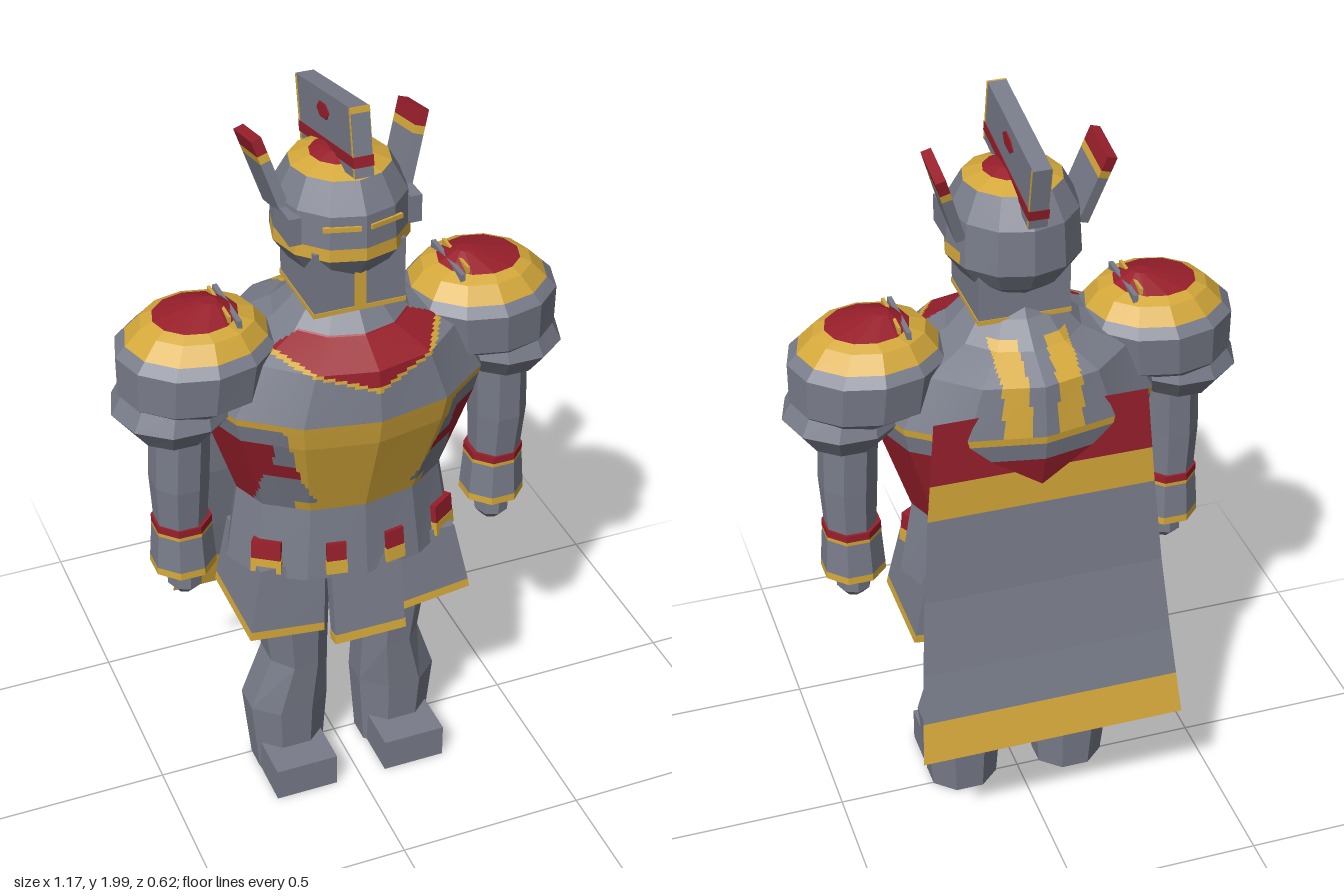
import * as THREE from 'three';

// Double sided because the cape is an open sheet
const material = (name, color) =>
  Object.assign(new THREE.MeshStandardMaterial({ color, side: THREE.DoubleSide }), { name });
const steel = material('steel', 0x797d8a);
const gold = material('gold', 0xd4a83a);
const red = material('red', 0x981f2b);
const palette = [steel, gold, red];
const STEEL = 0, GOLD = 1, RED = 2;

// Faceted surface over a grid of corners; each small cell is coloured by paint(centre).
function surface(name, cols, rows, sub, corner, paint) {
  const buckets = [[], [], []];
  const at = (i, j, u, v) => {
    const low = corner(i, j).lerp(corner(i + 1, j), u);
    return low.lerp(corner(i, j + 1).lerp(corner(i + 1, j + 1), u), v);
  };
  const tri = (list, a, b, c) => {
    const area = b.clone().sub(a).cross(c.clone().sub(a)).length();
    if (area > 1e-8) for (const p of [a, b, c]) list.push(p.x, p.y, p.z);
  };
  for (let j = 0; j < rows; j++) for (let i = 0; i < cols; i++)
    for (let q = 0; q < sub; q++) for (let p = 0; p < sub; p++) {
      const [u0, u1, v0, v1] = [p / sub, (p + 1) / sub, q / sub, (q + 1) / sub];
      const a = at(i, j, u0, v0), b = at(i, j, u1, v0), c = at(i, j, u1, v1), d = at(i, j, u0, v1);
      const list = buckets[paint(at(i, j, (u0 + u1) / 2, (v0 + v1) / 2))];
      tri(list, a, b, c);
      tri(list, a, c, d);
    }
  const geo = new THREE.BufferGeometry();
  geo.setAttribute('position', new THREE.Float32BufferAttribute(buckets.flat(), 3));
  let start = 0;
  buckets.forEach((list, k) => {
    if (list.length) geo.addGroup(start, list.length / 3, k);
    start += list.length / 3;
  });
  geo.computeVertexNormals();
  const mesh = new THREE.Mesh(geo, palette);
  mesh.name = name;
  return mesh;
}

// Closed stack of elliptical rings [y, rx, rz, cx, cz], listed from bottom to top.
function loft(name, rings, sides, paint = () => STEEL, sub = 1, turn = 0) {
  const cap = ([y, , , cx, cz]) => [y, 0, 0, cx, cz];
  const all = [cap(rings[0]), ...rings, cap(rings[rings.length - 1])];
  const corner = (i, j) => {
    const [y, rx, rz, cx, cz] = all[j];
    const a = ((i + turn) / sides) * Math.PI * 2;
    return new THREE.Vector3(cx + rx * Math.sin(a), y, cz + rz * Math.cos(a));
  };
  return surface(name, sides, all.length - 1, sub, corner, paint);
}

function box(name, mat, w, h, d, x, y, z) {
  const mesh = new THREE.Mesh(new THREE.BoxGeometry(w, h, d), mat);
  mesh.name = name;
  mesh.position.set(x, y, z);
  return mesh;
}

// Breastplate colours: collar, trim line, bib and side cloth
function paintTorso({ x, y, z }) {
  const ax = Math.abs(x);
  if (y > 1.24) {
    if (z > 0.125 && y < 1.425) {
      const edge = 1.325 + ax * 0.33;
      if (y > edge) return RED;
      if (y > edge - 0.01) return GOLD;
    }
    return z < -0.03 && ax > 0.035 && ax < 0.1 && y < 1.44 ? GOLD : STEEL;
  }
  if (y > 1.22) return GOLD;
  if (z > 0.05) {
    const bib = y > 1.05 ? 0.17 + (y - 1.05) * 0.3 : 0.17 - (1.05 - y) * 0.5;
    if (ax < bib || (y < 0.955 && ax < 0.17)) return GOLD;
    if (ax < 0.25 && y < 1.05) return STEEL;
    if (ax < 0.235 && y > 1.1) return STEEL;
  }
  if (y > 1.17) return STEEL;
  return z < -0.1 && y < 1.05 ? STEEL : RED;
}

function makeHead() {
  const head = new THREE.Group();
  head.name = 'head';
  head.add(box('faceGuard', steel, 0.23, 0.17, 0.225, 0, 1.555, 0.0525));
  head.add(box('faceStripe', gold, 0.028, 0.145, 0.008, 0, 1.55, 0.167));
  head.add(box('chinTrim', gold, 0.234, 0.012, 0.229, 0, 1.475, 0.0525));
  const c = [0, 0.035];
  head.add(loft('helmet', [
    [1.52, 0.07, 0.07, ...c], [1.57, 0.13, 0.135, ...c], [1.625, 0.168, 0.172, ...c],
    [1.657, 0.166, 0.171, ...c], [1.74, 0.16, 0.168, ...c], [1.81, 0.122, 0.125, ...c],
    [1.828, 0.073, 0.075, ...c], [1.84, 0.04, 0.04, ...c],
  ], 12, ({ y, z }) => {
    if (y > 1.81) return y > 1.828 ? RED : GOLD;
    return y > 1.625 && y < 1.657 && z > -0.03 ? GOLD : STEEL;
  }, 4));
  for (const s of [1, -1]) {
    const brow = box('browTrim', gold, 0.09, 0.012, 0.008, s * 0.055, 1.71, 0.19);
    brow.rotation.y = s * 0.27;
    head.add(brow, box('cheekPlate', steel, 0.03, 0.07, 0.1, s * 0.15, 1.695, 0.09));
    // side horn
    const horn = new THREE.Group();
    horn.name = 'horn';
    horn.add(box('hornBlade', steel, 0.026, 0.13, 0.125, 0, -0.035, 0),
      box('hornBand', gold, 0.026, 0.02, 0.125, 0, 0.04, 0),
      box('hornTip', red, 0.026, 0.04, 0.125, 0, 0.07, 0));
    horn.position.set(s * 0.18, 1.8, 0);
    horn.rotation.set(-0.2, 0, -s * 0.3);
    head.add(horn);
  }
  // tilted crest
  const crest = new THREE.Group();
  crest.name = 'crest';
  crest.add(box('crestBlade', steel, 0.046, 0.165, 0.352, 0, 0, 0));
  crest.add(box('crestBand', red, 0.05, 0.026, 0.354, 0, -0.045, 0));
  crest.add(box('crestTopTrim', gold, 0.048, 0.014, 0.006, 0, 0.0755, 0.174));
  for (const s of [1, -1]) {
    crest.add(box('crestEdgeTrim', gold, 0.049, 0.162, 0.007, 0, 0, s * 0.171));
    const gem = new THREE.Mesh(new THREE.CylinderGeometry(0.035, 0.035, 0.004, 6), red);
    gem.name = 'crestGem';
    gem.rotation.z = Math.PI / 2;
    gem.scale.set(0.6, 1, 1.1);
    gem.position.set(s * 0.024, 0.035, 0);
    crest.add(gem);
  }
  crest.position.set(0, 1.878, 0);
  crest.rotation.x = -0.2;
  head.add(crest);
  return head;
}

function makeArm(s) {
  const arm = new THREE.Group();
  arm.name = s > 0 ? 'leftArm' : 'rightArm';
  arm.add(loft('shoulderGuard', [
    [1.25, 0.13, 0.13, s * 0.4, 0.035], [1.285, 0.19, 0.17, s * 0.375, 0.035],
    [1.39, 0.198, 0.18, s * 0.367, 0.035], [1.415, 0.176, 0.158, s * 0.364, 0.035],
    [1.455, 0.14, 0.125, s * 0.36, 0.035], [1.468, 0.105, 0.097, s * 0.365, 0.035],
    [1.495, 0.02, 0.02, s * 0.33, 0.035],
  ], 12, ({ y }) => (y > 1.468 ? RED : y > 1.415 ? GOLD : STEEL)));
  arm.add(box('shoulderFin', steel, 0.012, 0.03, 0.18, s * 0.285, 1.463, 0.035));
  arm.add(box('finTrim', gold, 0.008, 0.03, 0.15, s * 0.305, 1.471, 0.035));
  arm.add(loft('upperArmGuard', [
    [1.17, 0.1, 0.11, s * 0.435, 0.04], [1.235, 0.152, 0.16, s * 0.433, 0.04],
    [1.29, 0.13, 0.14, s * 0.425, 0.04],
  ], 10, undefined, 1, 0.5));
  arm.add(loft('forearm', [
    [0.88, 0.066, 0.068, s * 0.428, 0.045], [1.02, 0.074, 0.082, s * 0.428, 0.05],
    [1.2, 0.074, 0.09, s * 0.42, 0.05],
  ], 8, undefined, 1, 0.5));
  arm.add(loft('gauntlet', [
    [0.755, 0.084, 0.084, s * 0.425, 0.045], [0.775, 0.083, 0.083, s * 0.425, 0.045],
    [0.87, 0.076, 0.076, s * 0.425, 0.045], [0.88, 0.076, 0.076, s * 0.425, 0.045],
    [0.9, 0.076, 0.076, s * 0.425, 0.045],
  ], 8, ({ y }) => (y < 0.775 ? GOLD : y < 0.87 ? STEEL : y < 0.88 ? GOLD : RED), 1, 0.5));
  arm.add(loft('hand', [
    [0.675, 0.025, 0.025, s * 0.425, 0.05], [0.7, 0.045, 0.05, s * 0.425, 0.05],
    [0.735, 0.045, 0.05, s * 0.425, 0.05], [0.77, 0.03, 0.035, s * 0.425, 0.05],
  ], 8));
  return arm;
}

function makeLeg(s) {
  const leg = new THREE.Group();
  leg.name = s > 0 ? 'leftLeg' : 'rightLeg';
  leg.add(loft('legArmour', [
    [0, 0.097, 0.087, s * 0.152, 0.03], [0.22, 0.116, 0.103, s * 0.155, 0.028],
    [0.38, 0.085, 0.102, s * 0.13, 0.04], [0.56, 0.1, 0.117, s * 0.14, 0.04],
    [0.78, 0.11, 0.12, s * 0.14, 0.04],
  ], 8, undefined, 1, 0.5));
  leg.add(box('boot', steel, 0.17, 0.095, 0.14, s * 0.155, 0.0475, 0.13));
  // hip panel flaring outward, with a gold hem and a steel underside
  const hip = (name, mat, y0, y1) => {
    const mesh = box(name, mat, 1, 1, 1, 0, 0, 0), pos = mesh.geometry.attributes.position;
    for (let i = 0; i < pos.count; i++) {
      const outer = pos.getX(i) * s > 0, y = pos.getY(i) > 0 ? y1 : y0;
      const flare = (0.76 - y) / 0.2;
      pos.setXYZ(i, s * (outer ? 0.265 + 0.035 * flare : 0.09 + 0.012 * flare),
        y + (outer && y < 0.7 ? 0.025 : 0), pos.getZ(i) > 0 ? 0.17 + 0.022 * flare : -0.08);
    }
    mesh.geometry.computeVertexNormals();
    return mesh;
  };
  leg.add(hip('hipPanel', steel, 0.565, 0.76));
  leg.add(hip('hipHem', [gold, gold, gold, steel, gold, gold], 0.542, 0.565));
  // tassets hanging from the waist: [x, z, width, turn]
  for (const [x, z, w, turn] of [[0.077, 0.207, 0.05, 0.17], [0.235, 0.14, 0.075, 0.59]]) {
    const tasset = new THREE.Group();
    tasset.name = 'tasset';
    tasset.add(box('tassetCloth', red, w, 0.05, 0.03, 0, 0.02, 0),
      box('tassetTrim', gold, w + 0.004, 0.038, 0.032, 0, -0.024, 0));
    tasset.position.set(s * x, 0.785, z);
    tasset.rotation.set(-0.1, s * turn, 0, 'YXZ');
    leg.add(tasset);
  }
  return leg;
}

export function createModel() {
  const model = new THREE.Group();
  model.name = 'armouredFigure';
  model.add(loft('torso', [
    [0.93, 0.272, 0.188, 0, 0.025], [1.17, 0.352, 0.26, 0, 0.035], [1.22, 0.364, 0.27, 0, 0.036],
    [1.24, 0.368, 0.273, 0, 0.037], [1.37, 0.29, 0.255, 0, 0.035], [1.42, 0.17, 0.17, 0, 0.035],
    [1.475, 0.115, 0.115, 0, 0.04], [1.5, 0.1, 0.1, 0, 0.04],
  ], 12, paintTorso, 16));
  model.add(loft('waist', [[0.725, 0.305, 0.2, 0, 0.03], [0.93, 0.272, 0.188, 0, 0.025]], 12));
  const apron = new THREE.Group();
  apron.name = 'frontPanel';
  apron.add(box('panel', steel, 0.19, 0.2, 0.035, 0, 0.02, 0),
    box('panelHem', gold, 0.194, 0.025, 0.037, 0, -0.0925, 0));
  apron.position.set(0, 0.642, 0.222);
  apron.rotation.x = -0.17;
  model.add(apron);

  // cape sheet, as [y, z] from hem to shoulders
  const path = [[0.36, -0.315], [0.47, -0.289], [0.6, -0.26], [0.8, -0.224], [1.03, -0.204],
    [1.13, -0.201], [1.3, -0.195]];
  model.add(surface('cape', 1, 6, 1, (i, j) => {
    const [y, z] = path[j];
    return new THREE.Vector3((0.5 - i) * 2 * (0.35 - (y - 0.36) * 0.085), y, z);
  }, ({ y }) => (y < 0.47 ? GOLD : y < 1.03 ? STEEL : y < 1.13 ? GOLD : RED)));
  model.add(makeHead());
  for (const s of [1, -1]) model.add(makeArm(s), makeLeg(s));
  return model;
}
